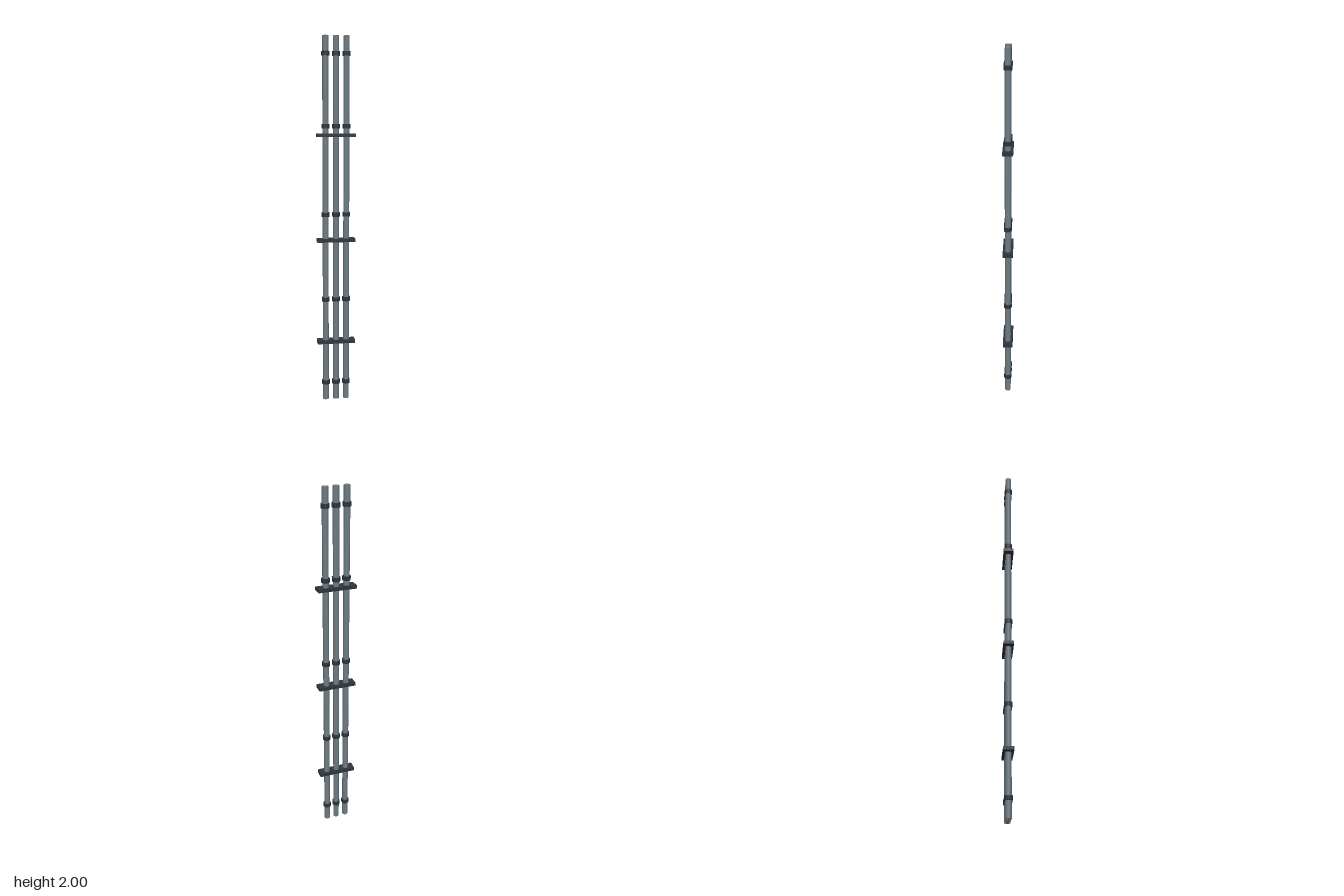
import * as THREE from 'three';

export function createModel() {
  const model = new THREE.Group();
  const steel = new THREE.MeshStandardMaterial({ color: 0x6f7d85 });
  steel.name = 'pipe steel';
  const iron = new THREE.MeshStandardMaterial({ color: 0x30353c });
  iron.name = 'dark iron';

  const add = (name, geometry, material, x, y) => {
    const mesh = new THREE.Mesh(geometry, material);
    mesh.name = name;
    mesh.position.set(x, y, 0);
    model.add(mesh);
  };

  // Three upright pipes, each with coupling collars along its length
  const pipe = new THREE.CylinderGeometry(0.0165, 0.0165, 2, 16);
  const collar = new THREE.CylinderGeometry(0.022, 0.022, 0.023, 16);
  for (const x of [-0.057, 0, 0.057]) {
    add('pipe', pipe, steel, x, 1);
    for (const y of [0.1, 0.577, 1.05, 1.526, 1.907]) add('collar', collar, iron, x, y);
  }

  // Flat brackets that tie the pipes together
  const bracket = new THREE.BoxGeometry(0.209, 0.018, 0.056);
  for (const y of [0.336, 0.908, 1.479]) add('bracket', bracket, iron, 0, y);

  return model;
}
